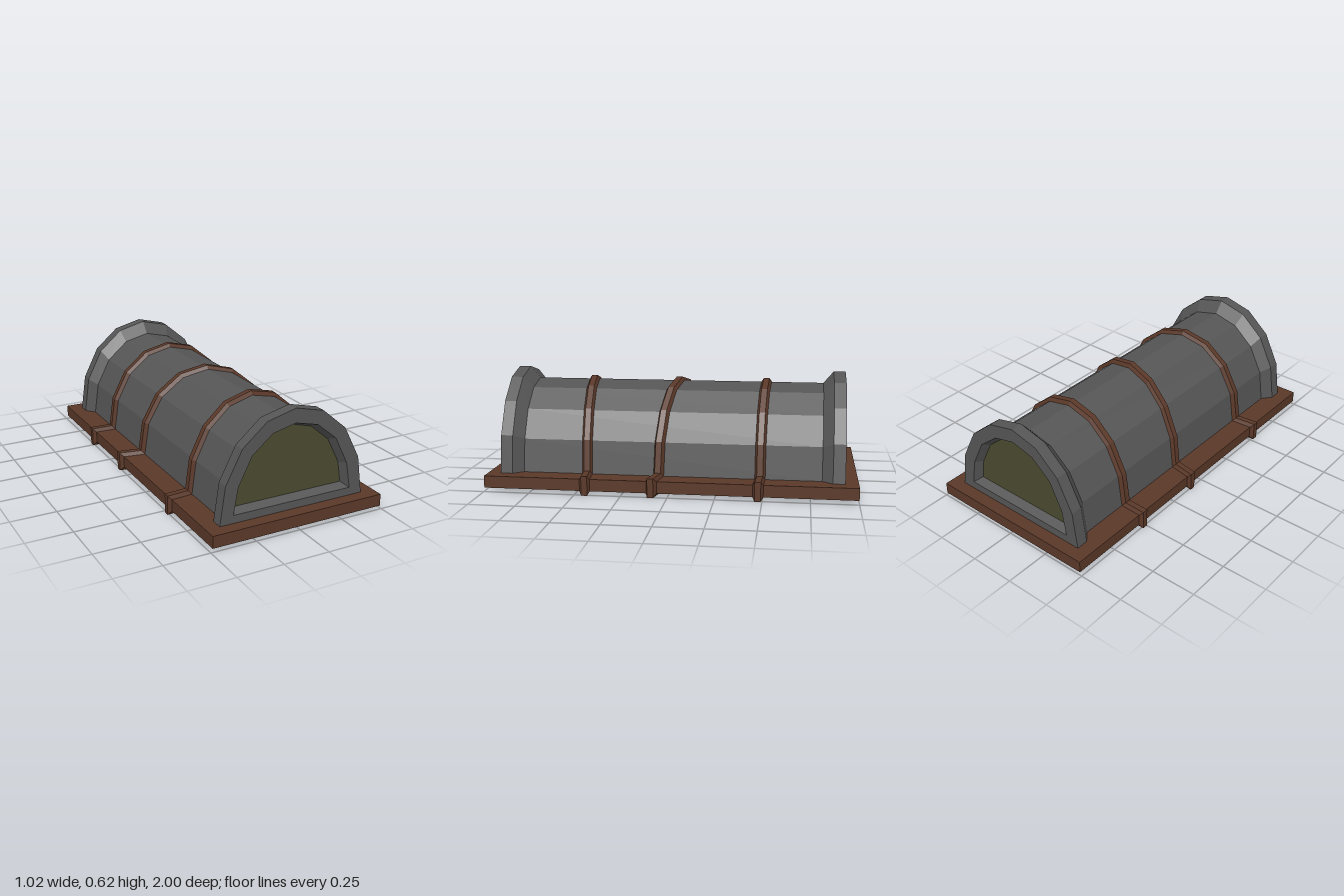
import * as THREE from 'three';

const material = (color) => new THREE.MeshStandardMaterial({ color, flatShading: true, roughness: 1 });
const metal = material(0x555555);
const wood = material(0x5a3828);
const olive = material(0x4a4a30);

// Mirror a right-hand half outline (bottom to top) into a counterclockwise ring.
const mirrored = (half) => [
  ...half,
  ...half.filter(([x]) => x > 0).reverse().map(([x, y]) => [-x, y]),
];

const flangeArch = [[0.415, 0.085], [0.385, 0.29], [0.295, 0.465], [0.16, 0.58], [0, 0.62]];
const bodyArch = [[0.37, 0.085], [0.344, 0.265], [0.264, 0.418], [0.143, 0.52], [0, 0.555]];
const openingArch = [[0.34, 0.128], [0.315, 0.27], [0.24, 0.42], [0.128, 0.512], [0, 0.543]];
const panelArch = [[0.312, 0.15], [0.293, 0.265], [0.225, 0.4], [0.12, 0.49], [0, 0.523]];

// Skin between successive closed rings, each { points, z }; slope shears z along x.
function loft(rings, slope = 0) {
  const positions = [];
  const vertex = (ring, i) => {
    const [x, y] = ring.points[i % ring.points.length];
    positions.push(x, y, ring.z + slope * x);
  };
  for (let r = 0; r < rings.length - 1; r++) {
    const a = rings[r], b = rings[r + 1];
    for (let i = 0; i < a.points.length; i++) {
      vertex(a, i); vertex(b, i); vertex(a, i + 1);
      vertex(a, i + 1); vertex(b, i); vertex(b, i + 1);
    }
  }
  const geometry = new THREE.BufferGeometry();
  geometry.setAttribute('position', new THREE.Float32BufferAttribute(positions, 3));
  geometry.computeVertexNormals();
  return geometry;
}

// Offset a counterclockwise ring outwards with mitred corners.
function offset(points, distance) {
  const n = points.length;
  const normal = (p, q) => new THREE.Vector2(q[1] - p[1], p[0] - q[0]).normalize();
  return points.map((p, i) => {
    const n1 = normal(points[(i + n - 1) % n], p);
    const n2 = normal(p, points[(i + 1) % n]);
    const k = distance / (1 + n1.dot(n2));
    return [p[0] + (n1.x + n2.x) * k, p[1] + (n1.y + n2.y) * k];
  });
}

function add(parent, name, geometry, mat) {
  const mesh = new THREE.Mesh(geometry, mat);
  mesh.name = name;
  parent.add(mesh);
  return mesh;
}

export function createModel() {
  const model = new THREE.Group();
  model.name = 'archedContainer';

  // Flat board under everything
  add(model, 'baseBoard', new THREE.BoxGeometry(0.98, 0.065, 2), wood).position.y = 0.0525;

  // Faceted half-barrel
  const body = mirrored(bodyArch);
  add(model, 'barrelBody', loft([{ points: body, z: 0.81 }, { points: body, z: -0.81 }]), metal);

  // Flared rim with a recessed panel at each end
  const flange = mirrored(flangeArch);
  const panel = mirrored(panelArch);
  const rimGeometry = loft([
    { points: panel, z: 0.885 },
    { points: mirrored(openingArch), z: 0.93 },
    { points: flange, z: 0.93 },
    { points: flange, z: 0.865 },
    { points: body, z: 0.81 },
  ]);
  const panelGeometry = new THREE.ShapeGeometry(
    new THREE.Shape(panel.map(([x, y]) => new THREE.Vector2(x, y))));
  for (const end of ['front', 'back']) {
    const group = new THREE.Group();
    group.name = `${end}End`;
    add(group, `${end}Rim`, rimGeometry, metal);
    add(group, `${end}Panel`, panelGeometry, olive).position.z = 0.885;
    if (end === 'back') group.rotation.y = Math.PI;
    model.add(group);
  }

  // Slanted bevelled straps wrapped round the barrel and board
  const inner = mirrored([[0.49, 0.02], [0.49, 0.085], ...bodyArch]);
  const outer = offset(inner, 0.02);
  const straps = [
    { name: 'frontStrap', z: 0.488, slope: -0.087 },
    { name: 'middleStrap', z: -0.003, slope: 0.18 },
    { name: 'backStrap', z: -0.495, slope: 0.035 },
  ];
  for (const { name, z, slope } of straps) {
    add(model, name, loft([
      { points: inner, z: z + 0.028 },
      { points: outer, z: z + 0.016 },
      { points: outer, z: z - 0.016 },
      { points: inner, z: z - 0.028 },
    ], slope), wood);
  }

  return model;
}
